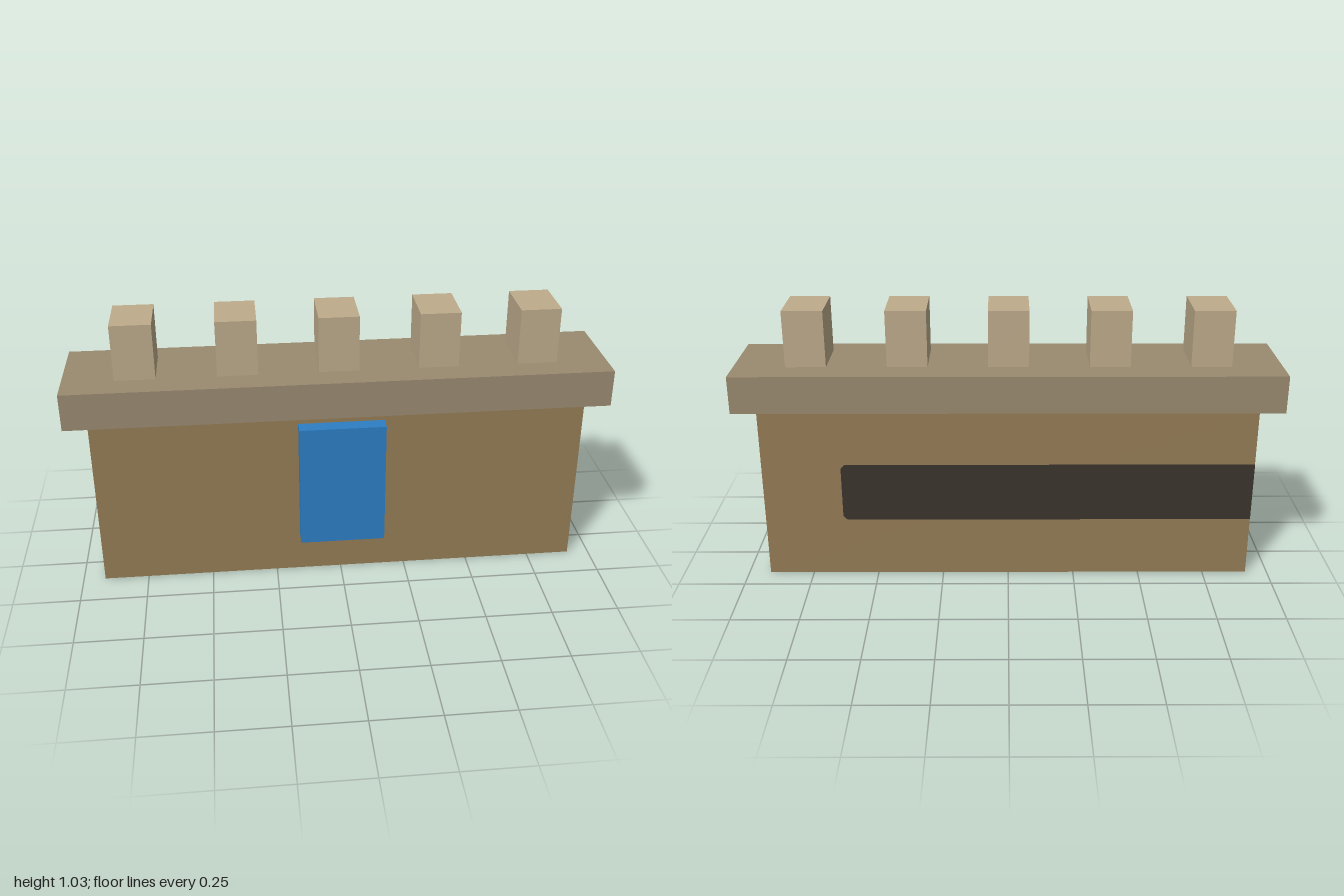
import * as THREE from 'three';

const mat = (name, color) => {
  const m = new THREE.MeshStandardMaterial({ color });
  m.name = name;
  return m;
};

export function createModel() {
  const group = new THREE.Group();
  const wallMat = mat('wallBrown', 0x957d56);
  const ledgeMat = mat('ledgeTaupe', 0x9a8a70);
  const merlonMat = mat('merlonSand', 0xbdab8b);
  const bannerMat = mat('bannerBlue', 0x2d7ec4);
  const darkMat = mat('darkStone', 0x3c342d);

  const add = (name, geometry, material) => {
    const mesh = new THREE.Mesh(geometry, material);
    mesh.name = name;
    group.add(mesh);
    return mesh;
  };
  // Box given by its minimum and maximum on each axis
  const box = (name, material, [x0, x1], [y0, y1], [z0, z1]) =>
    add(name, new THREE.BoxGeometry(x1 - x0, y1 - y0, z1 - z0), material)
      .position.set((x0 + x1) / 2, (y0 + y1) / 2, (z0 + z1) / 2);

  // Wall, overhanging ledge and front banner
  const X = 0.917, FRONT = 0.117, BACK = -0.163;
  box('wall', wallMat, [-X, X], [0.001, 0.68], [BACK, FRONT]);
  box('ledge', ledgeMat, [-1, 1], [0.68, 0.82], [-0.212, 0.167]);
  box('banner', bannerMat, [-0.16, 0.157], [0.18, 0.66], [0.158, 0.213]);

  // Row of merlons
  for (let i = 0; i < 5; i++) {
    const x = -0.737 + i * 0.3675;
    box('merlon', merlonMat, [x - 0.074, x + 0.074], [0.825, 1.035], [-0.12, 0.076]);
  }

  // Flat dark patches with clipped corners: c lists the cut at bottom left, bottom right, top right, top left
  const patch = (name, x0, x1, y0, y1, c, rotX, rotY, position) => {
    const pts = [
      [x0, y0 + c[0]], [x0 + c[0], y0], [x1 - c[1], y0], [x1, y0 + c[1]],
      [x1, y1 - c[2]], [x1 - c[2], y1], [x0 + c[3], y1], [x0, y1 - c[3]],
    ].map(([x, y]) => new THREE.Vector2(x, y))
      .filter((p, i, a) => i === 0 || p.distanceTo(a[i - 1]) > 1e-6);
    const mesh = add(name, new THREE.ShapeGeometry(new THREE.Shape(pts)), darkMat);
    mesh.rotation.set(rotX, rotY, 0);
    mesh.position.set(...position);
  };
  const H = Math.PI / 2, e = 0.002, k = 0.01;
  // Left end (+x): upper and lower patches
  patch('upperEndPatch', -0.106, 0.116, 0.615, 0.68, [k, k, 0, 0], 0, H, [X + e, 0, 0]);
  patch('lowerEndPatch', -0.082, 0.139, 0.001, 0.069, [0, 0, k, k], 0, H, [X + e, 0, 0]);
  // Underside continuation of the lower patch
  patch('undersidePatch', 0.53, X, -0.139, 0.08, [0.02, 0, 0, 0.02], H, 0, [0, 0, 0]);
  // Back band, wrapping a little onto the right end
  patch('backBand', -0.623, X, 0.23, 0.457, [0.015, 0, 0, 0.015], 0, Math.PI, [0, 0, BACK - e]);
  patch('backBandWrap', BACK, -0.137, 0.232, 0.455, [0, k, k, 0], 0, -H, [-X - e, 0, 0]);

  return group;
}
